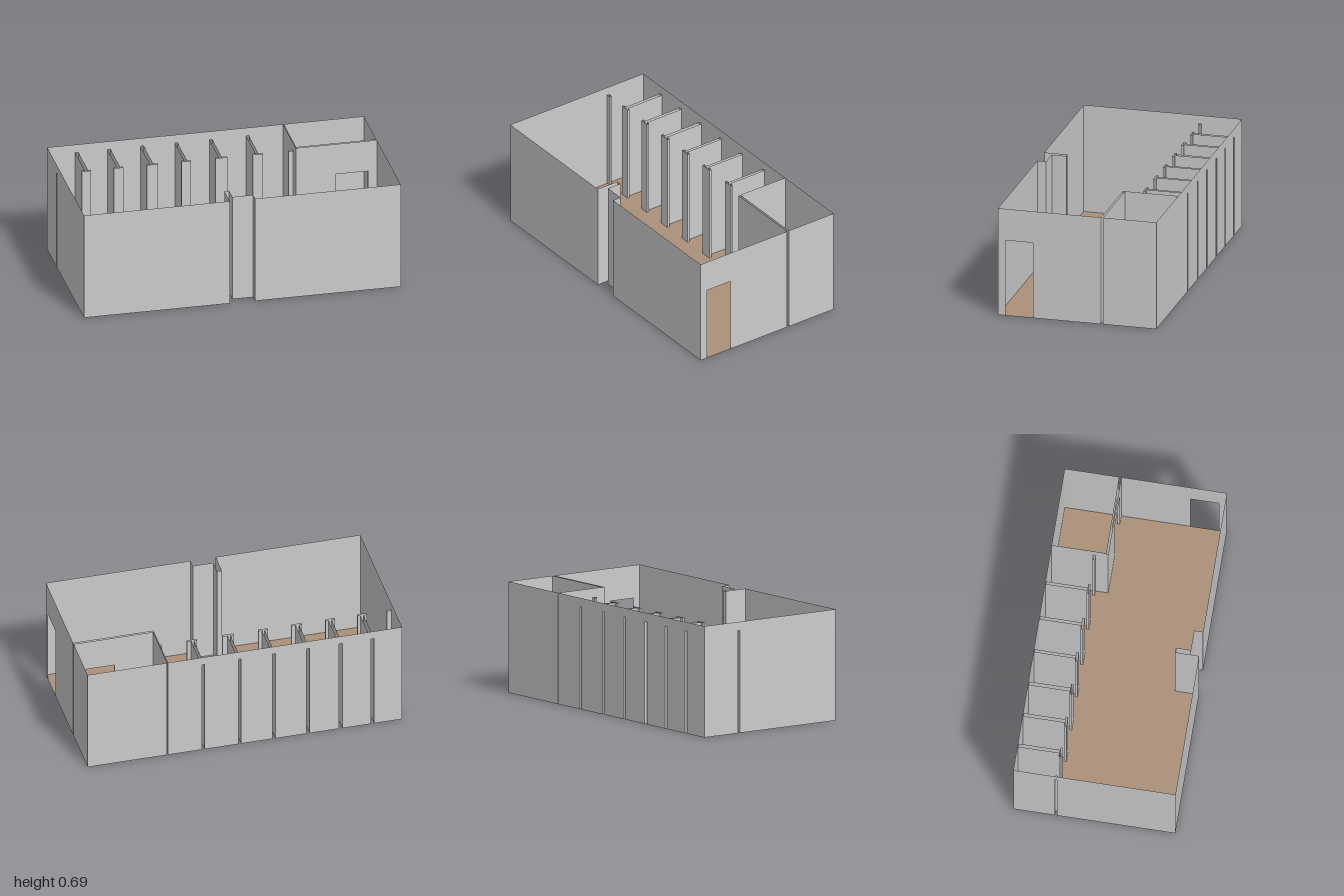
import * as THREE from 'three';
import { mergeGeometries } from 'three/addons/utils/BufferGeometryUtils.js';

const H = 0.695;      // outer wall height
const LOW = 0.64;     // stall divider height
const DOOR = 0.49;    // door head height
const BACK = -0.505, FRONT = 0.505;
const BAR_B = -0.245, BAR_F = -0.231;   // stall front posts, back and front
const ROOM_B = -0.166, ROOM_F = -0.152; // side room wall, back and front
const SLOT_L = 0.489, SLOT_R = 0.494;   // side room end wall

// stall dividers: [stem left, stem right, post left, post right]
const dividers = [
  [0.256, 0.273, 0.235, 0.299],
  [0.024, 0.042, 0.0, 0.074],
  [-0.194, -0.177, -0.214, -0.155],
  [-0.412, -0.391, -0.433, -0.365],
  [-0.62, -0.6, -0.642, -0.583],
  [-0.823, -0.803, -0.845, -0.786],
];

const wallPaint = new THREE.MeshStandardMaterial({ color: 0xcccccc, side: THREE.DoubleSide });
wallPaint.name = 'wallGrey';
const floorPaint = new THREE.MeshStandardMaterial({ color: 0xaa917a, side: THREE.DoubleSide });
floorPaint.name = 'floorTan';

// upright sheets following a run of [x, z] points
function run(points, y0, y1) {
  const sheets = [];
  for (let i = 1; i < points.length; i++) {
    const [ax, az] = points[i - 1], [bx, bz] = points[i];
    const dx = bx - ax, dz = bz - az;
    const g = new THREE.PlaneGeometry(Math.hypot(dx, dz), y1 - y0);
    g.rotateY(Math.atan2(-dz, dx));
    g.translate((ax + bx) / 2, (y0 + y1) / 2, (az + bz) / 2);
    sheets.push(g);
  }
  return mergeGeometries(sheets);
}

// outline of one T-shaped divider, open at the back wall
const tee = ([sl, sr, bl, br]) => [
  [sr, BACK], [sr, BAR_B], [br, BAR_B], [br, BAR_F],
  [bl, BAR_F], [bl, BAR_B], [sl, BAR_B], [sl, BACK],
];

export function createModel() {
  const model = new THREE.Group();
  model.name = 'roomShell';
  const addWall = (name, ...pieces) => {
    const mesh = new THREE.Mesh(mergeGeometries(pieces), wallPaint);
    mesh.name = name;
    model.add(mesh);
  };

  const entrance = [
    [-1, FRONT], [-0.08, FRONT], [-0.08, 0.356], [-0.05, 0.356],
    [-0.05, 0.449], [0.08, 0.449], [0.08, FRONT], [1, FRONT],
  ];
  const endPost = [[SLOT_L, BAR_F], [0.46, BAR_F], [0.46, BAR_B], [SLOT_L, BAR_B]];
  const leftPost = [[-1, BAR_B], [-0.973, BAR_B], [-0.973, BAR_F], [-1, BAR_F]];

  // floor follows the inner line of every wall
  const outline = [
    ...entrance,
    [1, ROOM_F], [0.945, ROOM_F], [0.945, ROOM_B], [1, ROOM_B],
    [1, BACK], [SLOT_R, BACK], [SLOT_R, ROOM_B], [0.74, ROOM_B],
    [0.74, ROOM_F], [SLOT_L, ROOM_F],
    ...endPost, [SLOT_L, BACK],
    ...dividers.flatMap(tee),
    [-1, BACK], ...leftPost,
  ];
  const shape = new THREE.Shape(outline.map(([x, z]) => new THREE.Vector2(x, -z)));
  const floor = new THREE.Mesh(new THREE.ShapeGeometry(shape).rotateX(-Math.PI / 2), floorPaint);
  floor.name = 'floor';
  model.add(floor);

  // front wall with its recess
  addWall('frontWall', run(entrance, 0, H));

  // wall with the outer doorway
  addWall('doorwayWall',
    run([[1, FRONT], [1, 0.457]], 0, H),
    run([[1, 0.457], [1, 0.28]], DOOR, H),
    run([[1, 0.28], [1, ROOM_F]], 0, H),
    run([[1, ROOM_B], [1, BACK]], 0, H));

  // left end wall, with a band over the post gap
  addWall('endWall',
    run([[-1, BACK], [-1, BAR_B]], 0, H),
    run([[-1, BAR_B], [-1, BAR_F]], LOW, H),
    run([[-1, BAR_F], [-1, FRONT]], 0, H));

  // back wall: full-height panels joined by bands over the dividers
  const back = [run([[1, BACK], [SLOT_R, BACK]], 0, H)];
  let edge = SLOT_L;
  for (const [sl, sr] of dividers) {
    back.push(run([[edge, BACK], [sr, BACK]], 0, H), run([[sr, BACK], [sl, BACK]], LOW, H));
    edge = sl;
  }
  back.push(run([[edge, BACK], [-1, BACK]], 0, H));
  addWall('backWall', ...back);

  // stall dividers and posts
  for (const d of dividers) addWall('stallDivider', run(tee(d), 0, LOW));
  addWall('endPost', run(endPost, 0, LOW));
  addWall('leftPost', run(leftPost, 0, LOW));

  // side room walls with an inner doorway
  const room = [
    run([[SLOT_R, BACK], [SLOT_R, ROOM_B], [0.74, ROOM_B]], 0, H),
    run([[0.74, ROOM_F], [SLOT_L, ROOM_F], [SLOT_L, BAR_F]], 0, H),
    run([[SLOT_L, BAR_F], [SLOT_L, BAR_B]], LOW, H),
    run([[SLOT_L, BAR_B], [SLOT_L, BACK]], 0, H),
  ];
  for (const z of [ROOM_B, ROOM_F]) {
    room.push(run([[0.74, z], [0.945, z]], DOOR, H), run([[0.945, z], [1, z]], 0, H));
  }
  for (const x of [0.74, 0.945]) room.push(run([[x, ROOM_B], [x, ROOM_F]], 0, DOOR));
  addWall('sideRoomWalls', ...room);

  return model;
}
